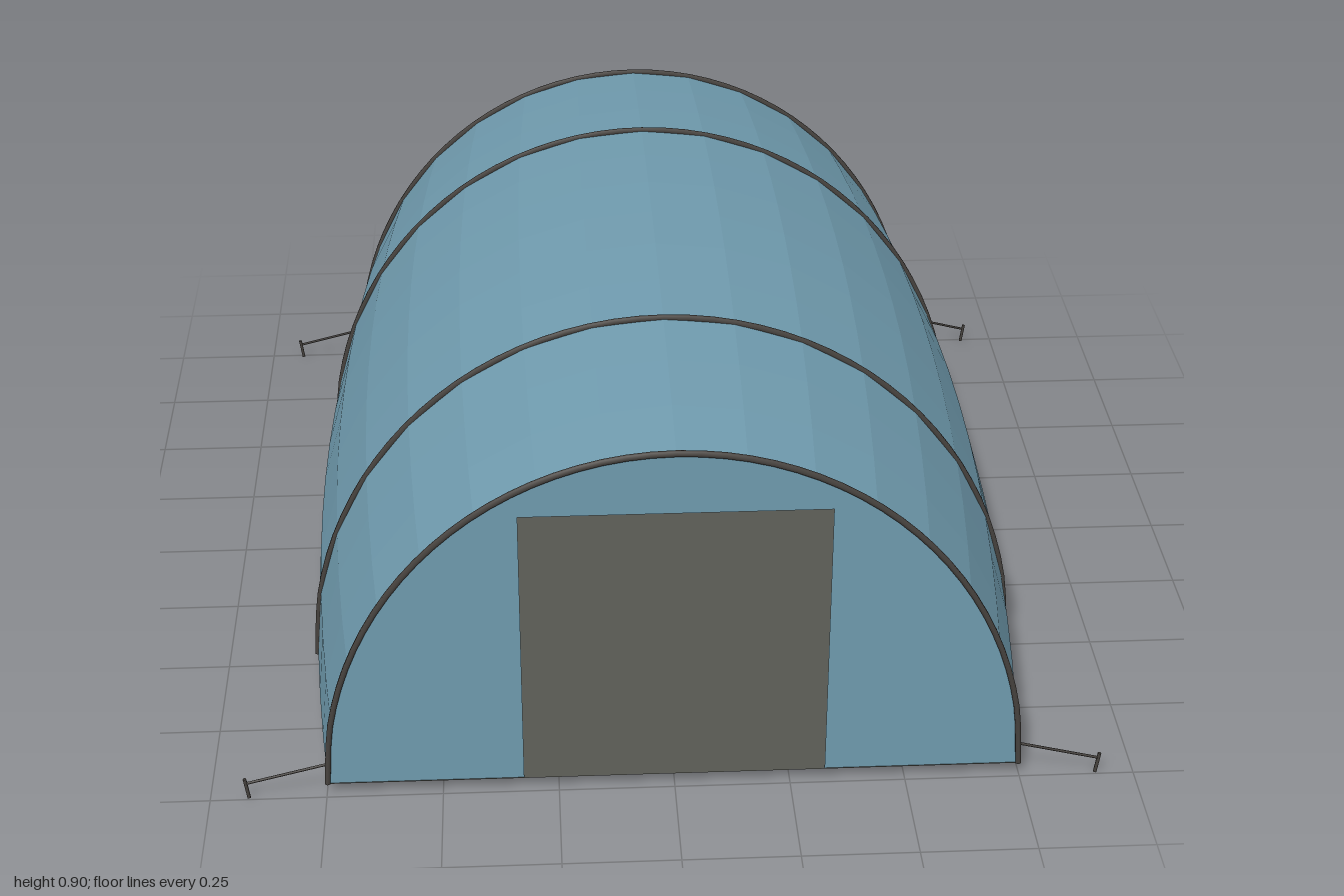
import * as THREE from 'three';

const FLOOR_Y = 0.032, HALF_W = 0.81, HEIGHT = 0.868, END_Z = 0.995, SIDES = 16, ROWS = 12;

const fabric = new THREE.MeshStandardMaterial({ color: 0x6f9aad, flatShading: true, side: THREE.DoubleSide });
fabric.name = 'blue fabric';
const grey = new THREE.MeshStandardMaterial({ color: 0x55564f, side: THREE.DoubleSide });
grey.name = 'grey groundsheet and mesh';
const dark = new THREE.MeshStandardMaterial({ color: 0x46423e });
dark.name = 'dark poles';

// The arch shrinks gently towards both ends
const swell = z => 1 - 0.08 * z * z;

// Point on the arch at t (0 = right foot, 1 = left foot)
function archPoint(t, z, grow = 0) {
  const a = Math.PI * (1 - t), s = swell(z);
  return new THREE.Vector3(
    Math.cos(a) * (HALF_W * s + grow),
    FLOOR_Y + Math.sin(a) * (HEIGHT * s + grow), z);
}

function add(group, name, geometry, material) {
  const mesh = new THREE.Mesh(geometry, material);
  mesh.name = name;
  group.add(mesh);
  return mesh;
}

// Straight thin rod between two points
function rod(group, name, a, b, radius) {
  const mesh = add(group, name, new THREE.CylinderGeometry(radius, radius, a.distanceTo(b), 6), dark);
  mesh.position.copy(a).add(b).multiplyScalar(0.5);
  mesh.quaternion.setFromUnitVectors(new THREE.Vector3(0, 1, 0), b.clone().sub(a).normalize());
}

// Faceted barrel canopy
function canopyGeometry() {
  const pos = [], idx = [];
  for (let j = 0; j <= ROWS; j++) {
    const z = END_Z * (2 * j / ROWS - 1);
    for (let i = 0; i <= SIDES; i++) pos.push(...archPoint(i / SIDES, z).toArray());
  }
  for (let j = 0; j < ROWS; j++) {
    for (let i = 0; i < SIDES; i++) {
      const a = j * (SIDES + 1) + i, b = a + SIDES + 1;
      idx.push(a, b, a + 1, b, b + 1, a + 1);
    }
  }
  const g = new THREE.BufferGeometry();
  g.setAttribute('position', new THREE.Float32BufferAttribute(pos, 3));
  g.setIndex(idx);
  g.computeVertexNormals();
  return g;
}

// Half-round end wall, optionally with a doorway open at the bottom
function wallGeometry(door) {
  const shape = new THREE.Shape();
  for (let i = 0; i <= SIDES; i++) {
    const p = archPoint(i / SIDES, END_Z);
    if (i === 0) shape.moveTo(p.x, p.y); else shape.lineTo(p.x, p.y);
  }
  if (door) {
    shape.lineTo(0.325, FLOOR_Y);
    shape.lineTo(0.325, 0.69);
    shape.lineTo(-0.325, 0.69);
    shape.lineTo(-0.325, FLOOR_Y);
  }
  shape.closePath();
  return new THREE.ShapeGeometry(shape);
}

export function createModel() {
  const tent = new THREE.Group();
  tent.name = 'tunnelTent';

  add(tent, 'canopy', canopyGeometry(), fabric);
  add(tent, 'frontWall', wallGeometry(true), fabric).position.z = END_Z - 0.003;
  add(tent, 'backWall', wallGeometry(false), fabric).position.z = -END_Z + 0.003;

  // Groundsheet following the bulging sides
  const outline = [];
  for (const side of [1, -1]) {
    for (let j = 0; j <= ROWS; j++) {
      const z = side * END_Z * (2 * j / ROWS - 1);
      outline.push(new THREE.Vector2(side * HALF_W * swell(z), -z));
    }
  }
  const floor = new THREE.ShapeGeometry(new THREE.Shape(outline)).rotateX(-Math.PI / 2);
  add(tent, 'groundsheet', floor, grey).position.y = FLOOR_Y;

  // Mesh vent on the outside of the back wall
  const vent = new THREE.Shape([[-0.226, 0.46], [0.226, 0.46], [0.2, 0.59], [-0.2, 0.59]]
    .map(([x, y]) => new THREE.Vector2(x, y)));
  add(tent, 'backVent', new THREE.ShapeGeometry(vent), grey).position.z = -END_Z - 0.002;

  // Hoop poles
  for (const z of [-0.993, -0.5, 0.5, 0.993]) {
    const points = [];
    for (let i = 0; i <= SIDES; i++) points.push(archPoint(i / SIDES, z, 0.001));
    const curve = new THREE.CatmullRomCurve3(points);
    add(tent, 'hoopPole', new THREE.TubeGeometry(curve, 48, 0.007, 6), dark);
  }

  // Guy lines and pegs at the four corners
  for (const x of [-1, 1]) {
    for (const z of [-0.993, 0.993]) {
      const corner = new THREE.Group();
      corner.name = 'guyLineAndPeg';
      const at = (px, py) => new THREE.Vector3(x * px, py, z);
      rod(corner, 'guyLine', at(0.745, 0.083), at(0.922, 0.038), 0.003);
      rod(corner, 'peg', at(0.924, 0.05), at(0.917, 0.001), 0.004);
      tent.add(corner);
    }
  }
  return tent;
}
